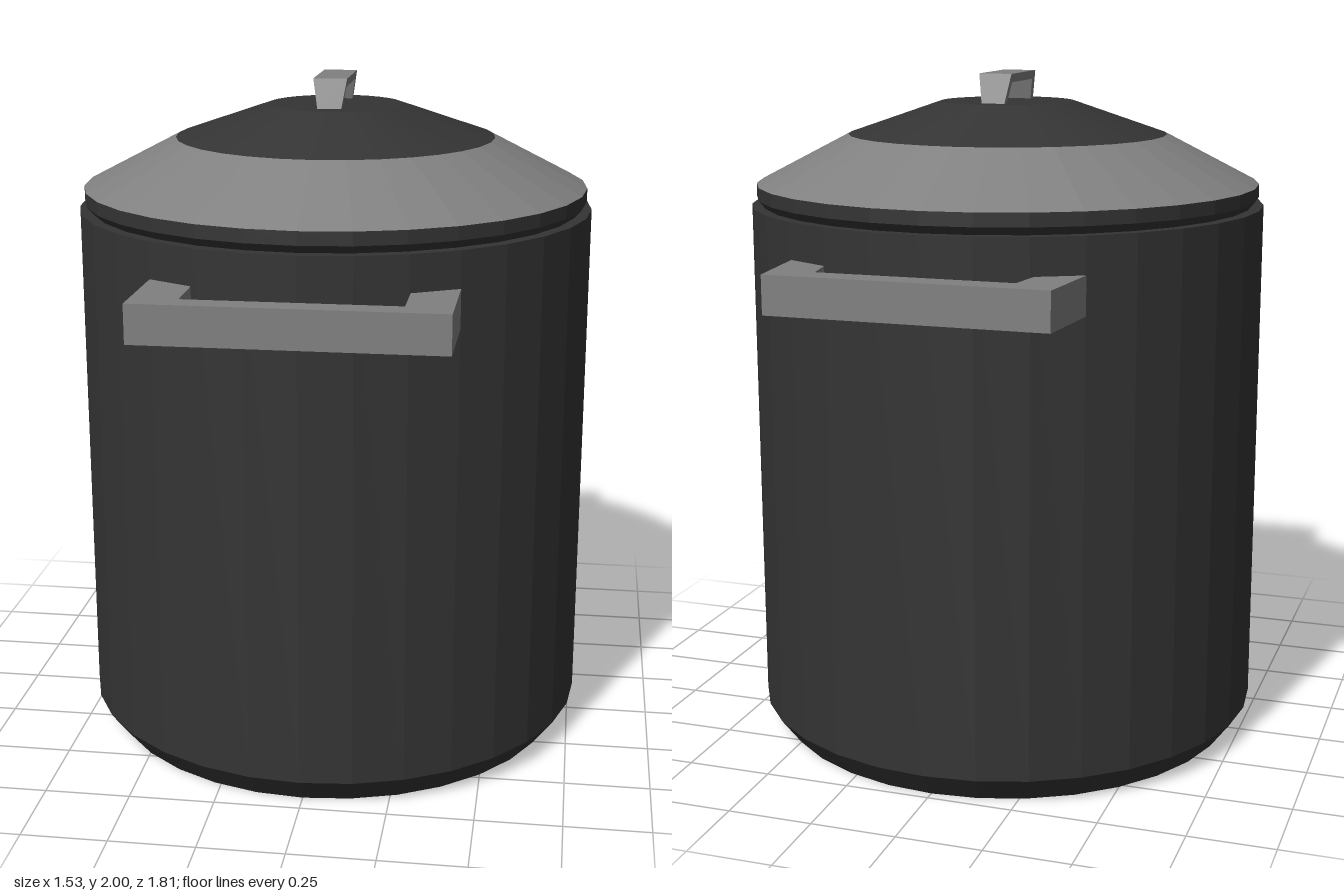
import * as THREE from 'three';

const dark = new THREE.MeshStandardMaterial({ color: 0x343434, flatShading: true });
const steel = new THREE.MeshStandardMaterial({ color: 0x808080, flatShading: true });
const CENTRE_Z = -0.016;
const SIDES = 32;

const v2 = ([x, y]) => new THREE.Vector2(x, y);

function addMesh(parent, name, geometry, material) {
  const mesh = new THREE.Mesh(geometry, material);
  mesh.name = name;
  parent.add(mesh);
  return mesh;
}

// Round part turned about the pot's axis; profile runs bottom to top as [radius, y]
function addTurned(parent, name, profile, material) {
  const mesh = addMesh(parent, name, new THREE.LatheGeometry(profile.map(v2), SIDES), material);
  mesh.position.z = CENTRE_Z;
}

function extrude(outline, depth) {
  return new THREE.ExtrudeGeometry(new THREE.Shape(outline.map(v2)), { depth, bevelEnabled: false });
}

// Flat U-shaped handle given as [x, z] corners in plan
function addSideHandle(parent, name, plan) {
  const geometry = extrude(plan.map(([x, z]) => [x, -z]), 0.11);
  geometry.rotateX(-Math.PI / 2).translate(0, 1.4, 0);
  addMesh(parent, name, geometry, steel);
}

export function createModel() {
  const pot = new THREE.Group();
  pot.name = 'stockPot';

  // Body with chamfered base and a shoulder under the lid
  addTurned(pot, 'body', [
    [0, 0], [0.705, 0], [0.765, 0.08], [0.765, 1.615], [0.72, 1.615],
  ], dark);

  // Lid: dark rim, light sloping band, dark crown with a flat top
  const lid = new THREE.Group();
  lid.name = 'lid';
  pot.add(lid);
  addTurned(lid, 'lidRim', [[0, 1.615], [0.73, 1.615], [0.75, 1.638], [0.75, 1.677]], dark);
  addTurned(lid, 'lidBand', [[0.75, 1.677], [0.475, 1.82]], steel);
  addTurned(lid, 'lidCrown', [[0.475, 1.82], [0.2, 1.915], [0, 1.915]], dark);

  // Lid grip: thin trapezoid arch that widens towards the top
  const grip = extrude([
    [0.139, 1.913], [0.116, 2], [-0.116, 2], [-0.139, 1.913],
    [-0.115, 1.913], [-0.098, 1.975], [0.098, 1.975], [0.115, 1.913],
  ], 2);
  grip.translate(0, 0, -1).rotateY(-Math.PI / 2);
  const p = grip.attributes.position;
  for (let i = 0; i < p.count; i++) {
    p.setX(i, p.getX(i) * (0.035 + (p.getY(i) - 1.915) * 0.17));
  }
  grip.computeVertexNormals();
  addMesh(lid, 'lidGrip', grip, steel).position.z = CENTRE_Z;

  // Carrying handles: square at the front, slightly tapered at the back
  addSideHandle(pot, 'frontHandle', [
    [0.425, 0.62], [0.423, 0.905], [-0.428, 0.905], [-0.425, 0.62],
    [-0.296, 0.66], [-0.296, 0.837], [0.296, 0.837], [0.296, 0.66],
  ]);
  addSideHandle(pot, 'backHandle', [
    [0.425, -0.64], [0.395, -0.905], [-0.405, -0.905], [-0.427, -0.64],
    [-0.305, -0.69], [-0.287, -0.825], [0.275, -0.825], [0.3, -0.69],
  ]);

  return pot;
}
